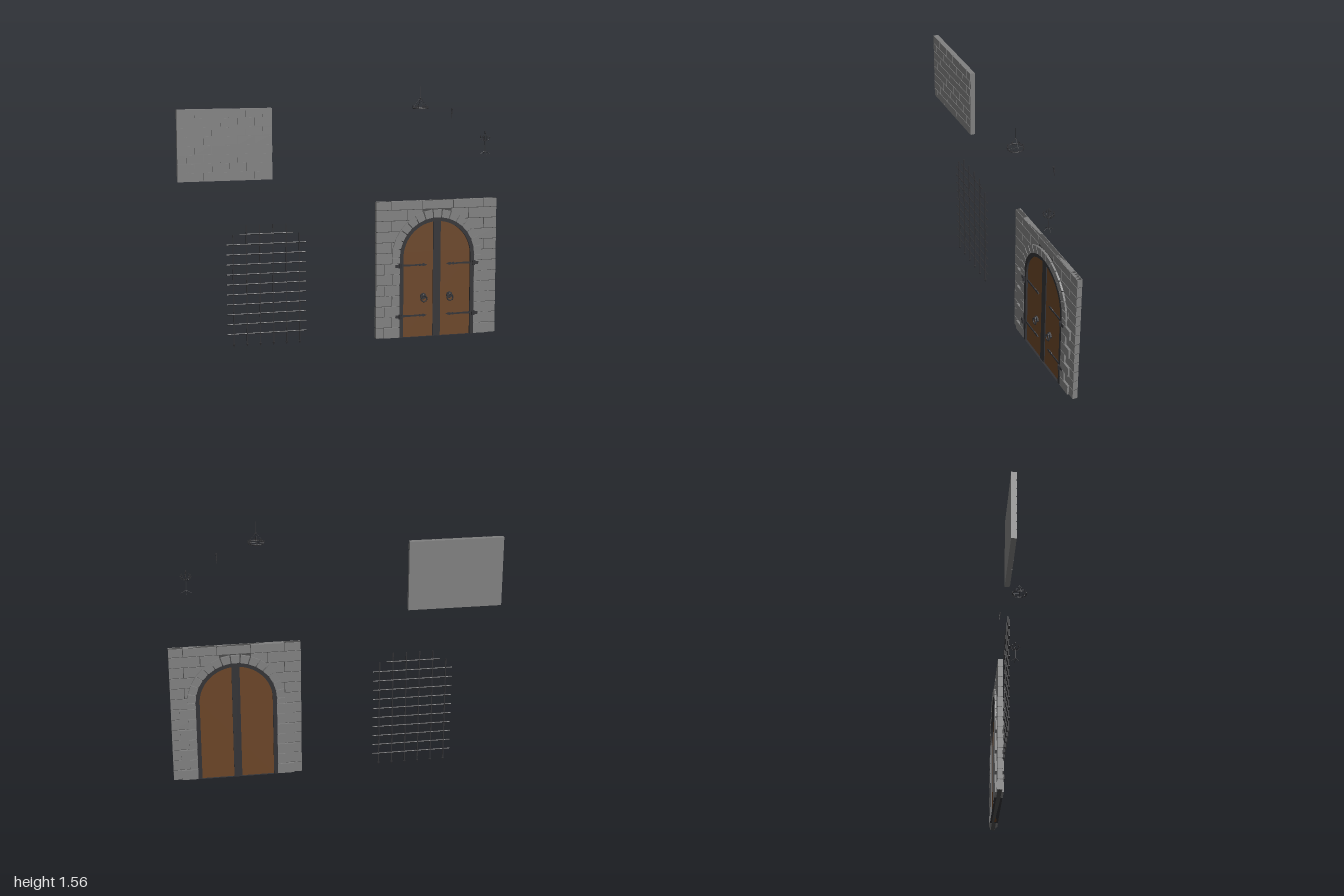
import * as THREE from 'three';

const mat = (color) => new THREE.MeshStandardMaterial({ color, flatShading: true, side: THREE.DoubleSide });
const STONE = mat(0x808080), MORTAR = mat(0x4c4c4c), IRON = mat(0x333336), WOOD = mat(0x6b4527);

function add(parent, name, geometry, material) {
  const mesh = new THREE.Mesh(geometry, material);
  mesh.name = name;
  parent.add(mesh);
  return mesh;
}

function group(parent, name, x = 0, y = 0, z = 0) {
  const g = new THREE.Group();
  g.name = name;
  g.position.set(x, y, z);
  parent.add(g);
  return g;
}

// Box given by its limits on each axis
function block(parent, name, x0, x1, y0, y1, z0, z1, material) {
  const m = add(parent, name, new THREE.BoxGeometry(x1 - x0, y1 - y0, z1 - z0), material);
  m.position.set((x0 + x1) / 2, (y0 + y1) / 2, (z0 + z1) / 2);
  return m;
}

// Straight round bar between two points
function bar(parent, name, a, b, r, rEnd = r, sides = 6) {
  const p = new THREE.Vector3(...a), q = new THREE.Vector3(...b), d = q.clone().sub(p);
  const m = add(parent, name, new THREE.CylinderGeometry(rEnd, r, d.length(), sides), IRON);
  m.position.copy(p).add(q).multiplyScalar(0.5);
  m.quaternion.setFromUnitVectors(new THREE.Vector3(0, 1, 0), d.normalize());
  return m;
}

function extrude(shape, z0, z1) {
  const g = new THREE.ExtrudeGeometry(shape, { depth: z1 - z0, bevelEnabled: false, curveSegments: 24 });
  return g.translate(0, 0, z0);
}

// Outline of a round-headed opening; SPRING is where the arch begins
const SPRING = 0.505;
function archPath(r, Type = THREE.Shape) {
  const s = new Type();
  s.moveTo(-r, 0);
  s.lineTo(r, 0);
  s.lineTo(r, SPRING);
  s.absarc(0, SPRING, r, 0, Math.PI, false);
  s.lineTo(-r, 0);
  return s;
}

function buildGate(root) {
  const gate = group(root, 'gate', 0.607, 0, -0.0805);
  const W = 0.393, ROW = 0.0667, T = 0.0155, GAP = 0.002, R = 0.243;

  // Mortar core with an arched opening
  const core = new THREE.Shape();
  [[-W, 0], [W, 0], [W, 0.853], [-W, 0.853]].forEach(([x, y], i) => i ? core.lineTo(x, y) : core.moveTo(x, y));
  core.holes.push(archPath(R, THREE.Path));
  add(gate, 'wallCore', extrude(core, -T + 0.003, T - 0.003), MORTAR).scale.x = 0.994;

  // Coursed stones, stopped at the opening
  const stones = group(gate, 'wallStones');
  for (let row = 0; row < 13; row++) {
    const y0 = row * ROW, y1 = row === 12 ? 0.855 : y0 + ROW;
    const dy = Math.max(0, y0 - SPRING);
    const inner = dy < R ? Math.sqrt((R + 0.004) ** 2 - dy * dy) : 0;
    const start = -W - (row % 2 ? 0 : 0.1);
    for (let k = 0; k < 5; k++) {
      const a = Math.max(-W, start + k * 0.2), b = Math.min(W, start + (k + 1) * 0.2);
      const spans = inner ? [[a, Math.min(b, -inner)], [Math.max(a, inner), b]] : [[a, b]];
      for (const [p, q] of spans)
        if (q - p > 0.012) block(stones, 'wallStone', p + GAP, q - GAP, y0 + GAP, y1 - GAP, -T, T, STONE);
    }
  }

  // Thicker jamb stones, alternately long and short
  const D = 0.0265;
  const jambs = group(gate, 'jambStones');
  for (const s of [-1, 1])
    for (let row = 0; row < 8; row++) {
      const out = row % 2 ? 0.291 : 0.342, y1 = Math.min((row + 1) * ROW, SPRING);
      const a = s * R, b = s * out;
      block(jambs, 'jambStone', Math.min(a, b), Math.max(a, b), row * ROW + GAP, y1 - GAP, -D, D, STONE);
    }

  // Ring of arch stones
  const ring = group(gate, 'archStones', 0, SPRING, 0);
  const N = 15, step = Math.PI / N;
  for (let i = 0; i < N; i++) {
    const a = i * step + 0.012, b = (i + 1) * step - 0.012, s = new THREE.Shape();
    s.moveTo(R * Math.cos(a), R * Math.sin(a));
    s.lineTo(0.292 * Math.cos(a), 0.292 * Math.sin(a));
    s.lineTo(0.292 * Math.cos(b), 0.292 * Math.sin(b));
    s.lineTo(R * Math.cos(b), R * Math.sin(b));
    add(ring, 'archStone', extrude(s, -D, D), STONE);
  }

  // Iron frame, wooden leaves and the centre strip
  const frame = archPath(R + 0.002), RI = 0.219;
  frame.holes.push(archPath(RI, THREE.Path));
  add(gate, 'doorFrame', extrude(frame, -0.025, 0.025), IRON);
  add(gate, 'doorLeaves', extrude(archPath(RI + 0.002), -0.013, 0.013), WOOD);
  block(gate, 'centreStrip', -0.024, 0.024, 0, 0.725, -0.019, 0.019, IRON);

  for (const s of [-1, 1]) {
    // Strap hinges
    for (const y of [0.134, 0.453]) {
      const hinge = group(gate, 'hinge', 0, y, 0);
      const knuckle = add(hinge, 'hingeKnuckle', new THREE.CylinderGeometry(0.011, 0.011, 0.028, 8), IRON);
      knuckle.position.set(s * 0.24, 0, 0.028);
      block(hinge, 'hingePlate', s * 0.25 - 0.02, s * 0.25 + 0.02, -0.009, 0.009, 0.02, 0.031, IRON);
      const strap = new THREE.Shape();
      strap.moveTo(s * 0.24, -0.007);
      for (const [x, h] of [[0.115, -0.004], [0.11, -0.009], [0.1, -0.004], [0.085, -0.009], [0.062, 0],
        [0.085, 0.009], [0.1, 0.004], [0.11, 0.009], [0.115, 0.004], [0.24, 0.007]]) strap.lineTo(s * x, h);
      add(hinge, 'hingeStrap', extrude(strap, 0.012, 0.019), IRON);
    }
    // Ring handles
    const handle = group(gate, 'doorHandle', s * 0.086, 0.246, 0.013);
    const plate = add(handle, 'handlePlate', new THREE.CylinderGeometry(0.019, 0.022, 0.01, 8), IRON);
    plate.rotation.x = Math.PI / 2;
    plate.position.set(0, 0.008, 0.004);
    add(handle, 'handleBoss', new THREE.SphereGeometry(0.01, 8, 6), IRON).position.set(0, 0.016, 0.012);
    const pull = add(handle, 'handleRing', new THREE.TorusGeometry(0.019, 0.0045, 6, 16), IRON);
    pull.position.set(0, -0.005, 0.017);
  }
}

function buildWallPanel(root) {
  const panel = group(root, 'wallPanel');
  const X0 = -1, X1 = -0.432, Y0 = 1.015, Y1 = 1.44, ROW = (Y1 - Y0) / 8, BW = 0.102;
  block(panel, 'panelSlab', X0, X1, Y0, Y1, -0.096, -0.069, STONE);
  // Running-bond bricks on the front
  for (let row = 0; row < 8; row++)
    for (let k = 0; k < 7; k++) {
      const left = X0 + (k - (row % 2 ? 0 : 0.5)) * BW;
      const a = Math.max(X0, left), b = Math.min(X1, left + BW);
      if (b - a < 0.01) continue;
      block(panel, 'panelBrick', a + (a > X0 ? 0.002 : 0), b - (b < X1 ? 0.002 : 0),
        Y0 + row * ROW + (row ? 0.002 : 0), Y0 + (row + 1) * ROW - (row < 7 ? 0.002 : 0), -0.07, -0.065, STONE);
    }
}

function buildPortcullis(root) {
  const grate = group(root, 'portcullis', -0.468, 0, -0.086);
  for (let i = 0; i < 6; i++) {
    const x = (i - 2.5) * 0.0815, top = i === 0 || i === 5 ? 0.685 : 0.743;
    bar(grate, 'uprightBar', [x, 0.02, 0], [x, top, 0], 0.004);
    bar(grate, 'spike', [x, 0.018, 0], [x, 0, 0], 0.008, 0.0005);
  }
  for (let j = 0; j < 11; j++) {
    const y = 0.08 + j * 0.0607, half = j === 10 ? 0.163 : 0.244;
    bar(grate, 'crossBar', [-half, y, 0], [half, y, 0], 0.004);
  }
}

function buildChandelier(root) {
  const lamp = group(root, 'chandelier', 0.453, 1.433, 0.056);
  const hoop = add(lamp, 'hoop', new THREE.TorusGeometry(0.046, 0.003, 6, 24), IRON);
  hoop.rotation.x = Math.PI / 2;
  add(lamp, 'hoopBand', new THREE.CylinderGeometry(0.047, 0.047, 0.009, 24, 1, true), IRON);
  for (let i = 0; i < 8; i++) {
    const a = i * Math.PI / 4, x = 0.046 * Math.cos(a), z = 0.046 * Math.sin(a);
    bar(lamp, 'candle', [x, 0, z], [x, 0.014, z], 0.003);
    if (i % 2 === 0) {
      bar(lamp, 'spoke', [0, 0, 0], [x, 0, z], 0.0015);
      bar(lamp, 'chain', [x, 0, z], [0, 0.063, 0], 0.0012);
    }
  }
  // Flat hanging strip
  const strip = add(lamp, 'hanger', new THREE.PlaneGeometry(0.003, 0.066), IRON);
  strip.position.y = 0.094;
}

function buildTorch(root) {
  const torch = group(root, 'wallTorch', 0.695, 1.357, -0.064);
  bar(torch, 'torchHandle', [0, 0, 0], [0, 0.045, 0.006], 0.0015, 0.003);
  bar(torch, 'torchCup', [0, 0.043, 0.006], [0, 0.06, 0.008], 0.003, 0.0065, 8);
  bar(torch, 'torchBracket', [0, 0.03, -0.003], [0, 0.034, 0.006], 0.002);
}

function buildCandleStand(root) {
  const stand = group(root, 'candleStand', 0.87, 1.143, 0.056);
  bar(stand, 'post', [0, 0.018, 0], [0, 0.132, 0], 0.003, 0.0025);
  bar(stand, 'topCandle', [0, 0.128, 0], [0, 0.142, 0], 0.0035);
  bar(stand, 'topCup', [0, 0.124, 0], [0, 0.13, 0], 0.003, 0.007, 8);
  for (let i = 0; i < 8; i++) {
    const arm = group(stand, 'candleArm');
    arm.rotation.y = i * Math.PI / 4;
    const curve = new THREE.QuadraticBezierCurve3(new THREE.Vector3(0, 0.086, 0),
      new THREE.Vector3(0.026, 0.08, 0), new THREE.Vector3(0.03, 0.101, 0));
    add(arm, 'curvedArm', new THREE.TubeGeometry(curve, 8, 0.0015, 5), IRON);
    bar(arm, 'cup', [0.03, 0.1, 0], [0.03, 0.105, 0], 0.003, 0.0055, 8);
    bar(arm, 'candle', [0.03, 0.104, 0], [0.03, 0.116, 0], 0.0022);
    if (i % 2 === 0) bar(arm, 'foot', [0, 0.02, 0], [0.032, 0.001, 0], 0.002, 0.0014);
  }
}

export function createModel() {
  const root = new THREE.Group();
  root.name = 'castleSet';
  [buildGate, buildWallPanel, buildPortcullis, buildChandelier, buildTorch, buildCandleStand].forEach((f) => f(root));
  return root;
}
